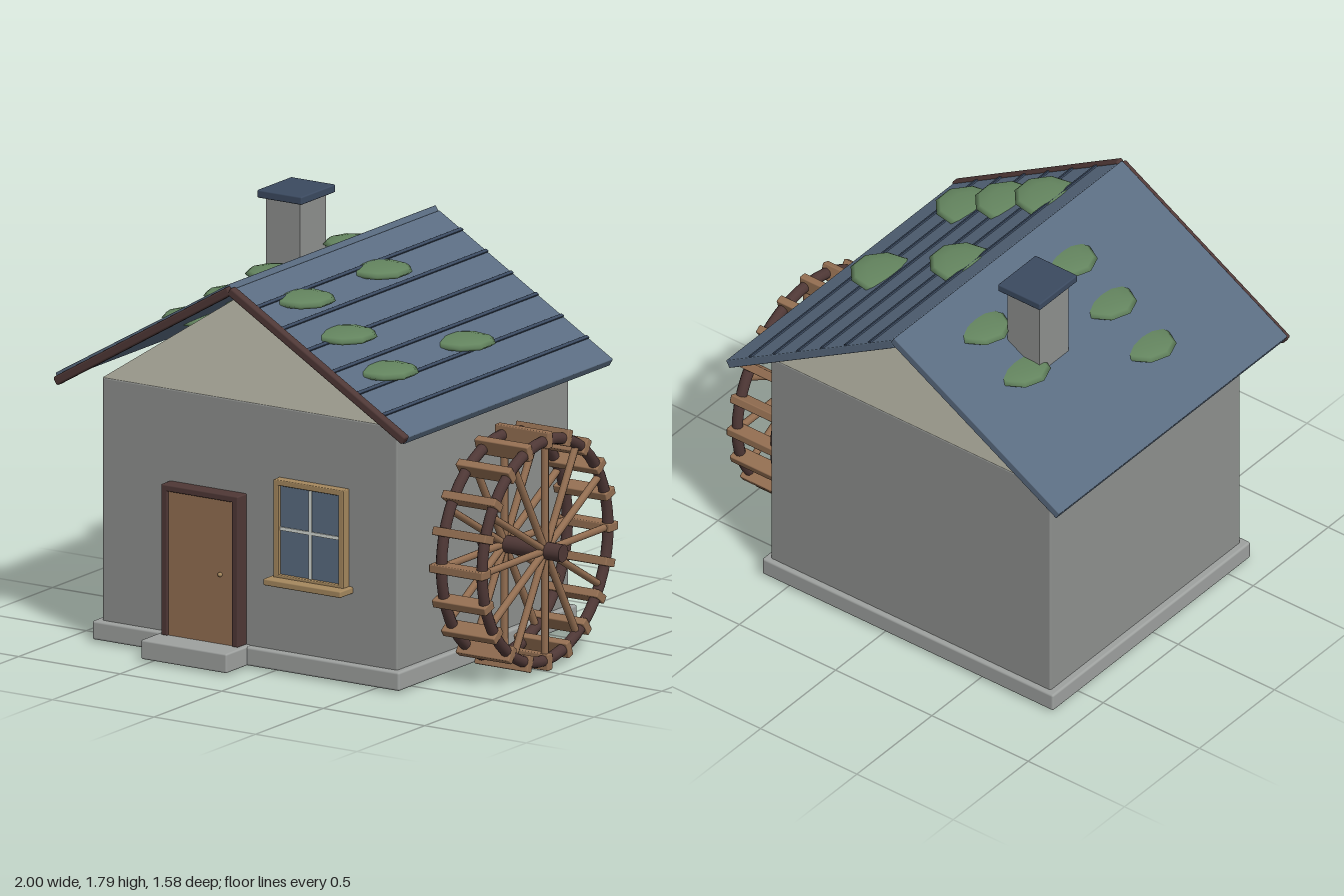
import * as THREE from 'three';
import { RoundedBoxGeometry } from 'three/addons/geometries/RoundedBoxGeometry.js';

const mat = (name, color, side = THREE.FrontSide) => {
  const m = new THREE.MeshStandardMaterial({ color, side });
  m.name = name;
  return m;
};

export function createModel() {
  const stone = mat('wall stone', 0x8f918f);
  const paleStone = mat('plinth stone', 0x9ea19f);
  const plaster = mat('cream plaster', 0xc9c7b6);
  const slate = mat('blue slate', 0x5a6c81);
  const darkSlate = mat('dark slate', 0x3b4a60);
  const darkWood = mat('dark wood', 0x4f3836);
  const wood = mat('brown wood', 0x946f52);
  const paleWood = mat('pale wood', 0xa5885e);
  const white = mat('off white', 0xd5dad5);
  const moss = mat('moss green', 0x64855f);

  const model = new THREE.Group();
  model.name = 'watermill';
  const midZ = -0.026;

  const add = (name, geo, material, x = 0, y = 0, z = 0, parent = model) => {
    const m = new THREE.Mesh(geo, material);
    m.name = name;
    m.position.set(x, y, z);
    parent.add(m);
    return m;
  };
  // Box given by its limits on each axis, with optional softened edges
  const block = (name, material, [x0, x1], [y0, y1], [z0, z1], r = 0) => {
    const s = [x1 - x0, y1 - y0, z1 - z0];
    const geo = r ? new RoundedBoxGeometry(...s, 2, r) : new THREE.BoxGeometry(...s);
    return add(name, geo, material, (x0 + x1) / 2, (y0 + y1) / 2, (z0 + z1) / 2);
  };
  // Sloping slab between two points in the xy plane
  const slope = (name, material, [x0, y0], [x1, y1], thick, [z0, z1], r) => {
    const geo = new RoundedBoxGeometry(Math.hypot(x1 - x0, y1 - y0), thick, z1 - z0, 2, r);
    const m = add(name, geo, material, (x0 + x1) / 2, (y0 + y1) / 2, (z0 + z1) / 2);
    m.rotation.z = Math.atan2(y1 - y0, x1 - x0);
    return m;
  };

  // Walls, plinth and doorstep
  block('plinth', paleStone, [-0.882, 0.63], [0.01, 0.09], [-0.683, 0.636], 0.01);
  block('doorstep', paleStone, [-0.54, -0.118], [0.01, 0.092], [0.6, 0.788], 0.008);
  block('walls', stone, [-0.85, 0.602], [0.08, 1.12], [-0.659, 0.607], 0.008);

  // Gable prism under the roof
  const tri = new THREE.Shape([
    new THREE.Vector2(-0.85, 1.118), new THREE.Vector2(0.602, 1.118), new THREE.Vector2(-0.125, 1.594),
  ]);
  add('gable', new THREE.ExtrudeGeometry(tri, { depth: 1.262, bevelEnabled: false }), plaster, 0, 0, -0.657);

  // Roof slabs and front barge boards
  const roofZ = [-0.788, 0.735];
  slope('roofLeftSlab', slate, [-0.988, 1.129], [-0.128, 1.632], 0.036, roofZ, 0.004);
  const ridge = [-0.13, 1.613], eave = [0.727, 1.107];
  slope('roofRightSlab', slate, ridge, eave, 0.036, roofZ, 0.004);
  slope('bargeBoardLeft', darkWood, [-0.985, 1.114], [-0.126, 1.623], 0.038, [0.722, 0.76], 0.009);
  slope('bargeBoardRight', darkWood, [-0.128, 1.623], [0.733, 1.112], 0.038, [0.722, 0.76], 0.009);

  // Dark seams across the right slope
  const grade = (eave[1] - ridge[1]) / (eave[0] - ridge[0]);
  for (let i = 0; i < 6; i++) {
    const x = -0.01 + i * 0.124;
    const y = ridge[1] + grade * (x - ridge[0]) + 0.021;
    slope('roofSeam', darkSlate, [x - 0.007, y - grade * 0.007], [x + 0.007, y + grade * 0.007],
      0.014, [-0.786, 0.725], 0.002);
  }

  // Moss clumps: flat lenses half sunk in the roof
  const clump = (x, y, z, r) => {
    const m = add('mossClump', new THREE.SphereGeometry(1, 9, 6), moss, x, y, z);
    m.scale.set(r, 0.027, r);
  };
  const rows = [0, 1, 2];
  for (const i of rows) {
    const y = 1.548 - i * 0.122;
    clump(0.035 + i * 0.205, y, 0.455, 0.14);
    if (i !== 1) clump(0.035 + i * 0.205, y, -0.112, 0.14);
    clump(-0.285 - i * 0.205, y, 0.17, 0.13);
    if (i < 2) clump(-0.285 - i * 0.205, y, -0.405, 0.13);
  }

  // Chimney
  block('chimney', stone, [-0.556, -0.39], [1.36, 1.76], [-0.355, -0.162]);
  block('chimneyCap', darkSlate, [-0.583, -0.364], [1.756, 1.79], [-0.387, -0.135], 0.006);

  // Door with its frame and knob
  block('door', wood, [-0.49, -0.168], [0.09, 0.71], [0.6, 0.662]);
  block('doorPostLeft', darkWood, [-0.171, -0.14], [0.09, 0.728], [0.6, 0.672], 0.006);
  block('doorPostRight', darkWood, [-0.519, -0.488], [0.09, 0.728], [0.6, 0.672], 0.006);
  block('doorLintel', darkWood, [-0.519, -0.14], [0.702, 0.73], [0.6, 0.672], 0.006);
  add('doorKnob', new THREE.SphereGeometry(0.01, 12, 8), paleWood, -0.23, 0.387, 0.668);

  // Window with frame, glazing bars and sill
  block('windowGlass', slate, [0.03, 0.355], [0.405, 0.815], [0.6, 0.632]);
  for (const x of [0.02, 0.34]) block('windowJamb', paleWood, [x, x + 0.025], [0.4, 0.824], [0.6, 0.65], 0.004);
  block('windowHead', paleWood, [0.02, 0.365], [0.8, 0.824], [0.6, 0.65], 0.004);
  block('windowFoot', paleWood, [0.02, 0.365], [0.4, 0.422], [0.6, 0.65], 0.004);
  block('glazingBarUpright', white, [0.186, 0.2], [0.42, 0.802], [0.63, 0.638]);
  block('glazingBarCross', white, [0.044, 0.342], [0.609, 0.623], [0.63, 0.638]);
  block('windowSill', paleWood, [0.003, 0.384], [0.383, 0.411], [0.6, 0.7], 0.006);

  // Water wheel, turning about the x axis
  const wheel = new THREE.Group();
  wheel.name = 'waterWheel';
  wheel.position.set(0.81, 0.505, midZ + 0.003);
  model.add(wheel);
  const axle = add('axle', new THREE.CylinderGeometry(0.037, 0.037, 0.42, 16), darkWood, -0.02, 0, 0, wheel);
  axle.rotation.z = Math.PI / 2;

  for (const x of [-0.1, 0.1]) {
    const rim = add('wheelRim', new THREE.TorusGeometry(0.465, 0.024, 10, 48), darkWood, x, 0, 0, wheel);
    rim.rotation.y = Math.PI / 2;
    for (let i = 0; i < 12; i++) {
      const a = (i * Math.PI) / 6;
      const spoke = add('spoke', new THREE.CylinderGeometry(0.016, 0.016, 0.46, 8), wood,
        x, Math.cos(a) * 0.23, Math.sin(a) * 0.23, wheel);
      spoke.rotation.x = a;
    }
  }
  for (let i = 0; i < 20; i++) {
    const a = (i * Math.PI) / 10;
    const paddle = add('paddle', new RoundedBoxGeometry(0.262, 0.07, 0.036, 2, 0.005), wood,
      -0.005, Math.cos(a) * 0.47, Math.sin(a) * 0.47, wheel);
    paddle.rotation.x = a;
  }
  return model;
}
